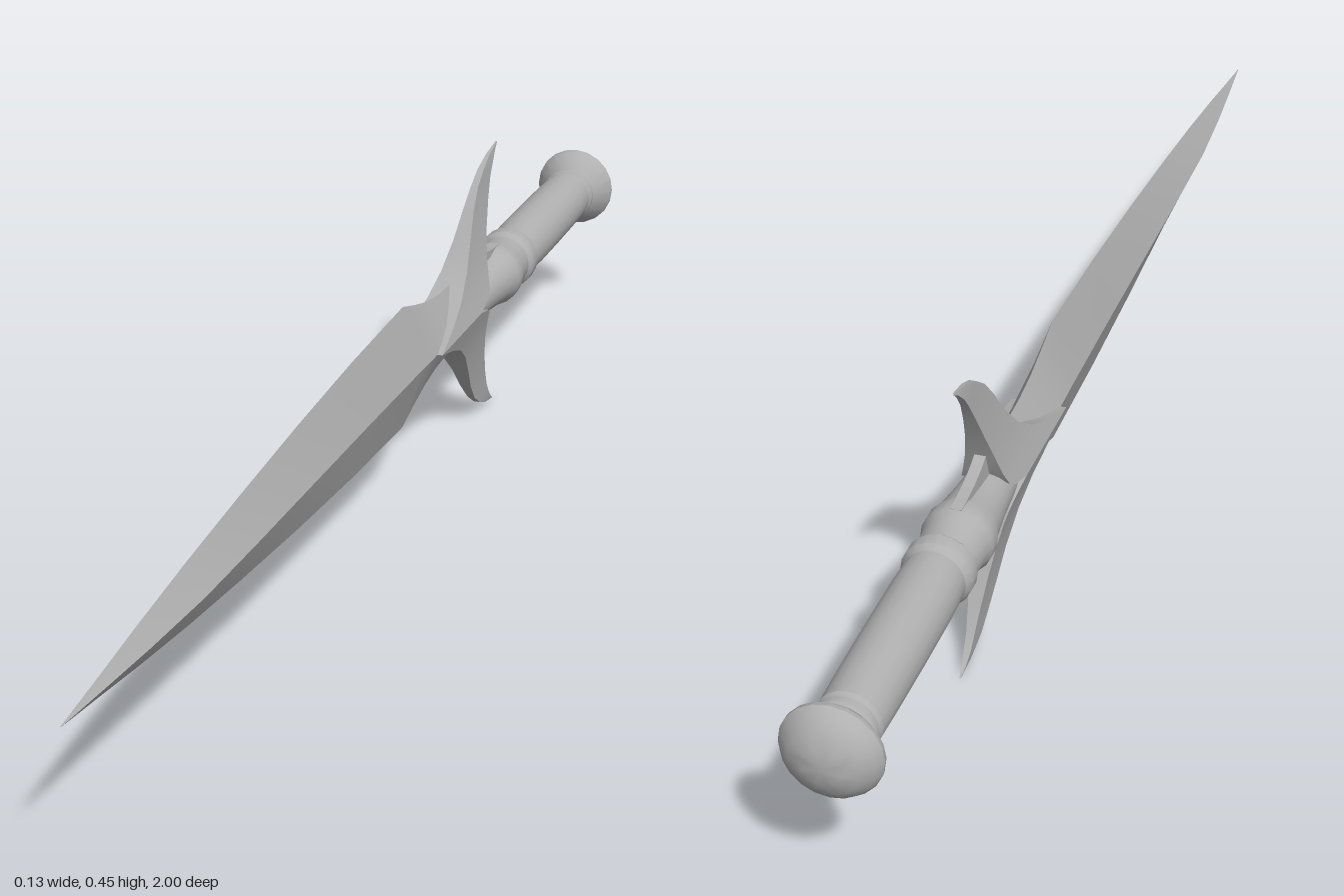
import * as THREE from 'three';
import { toCreasedNormals } from 'three/addons/utils/BufferGeometryUtils.js';

const AXIS_Y = 0.227;

// Skin a list of four-cornered rings; rings run counter-clockwise seen from the first one.
function loft(rings) {
  const pos = [];
  for (let i = 0; i < rings.length - 1; i++) {
    for (let j = 0; j < 4; j++) {
      const k = (j + 1) % 4;
      const a = rings[i][j], b = rings[i][k], c = rings[i + 1][j], d = rings[i + 1][k];
      pos.push(...a, ...c, ...b, ...b, ...c, ...d);
    }
  }
  const geo = new THREE.BufferGeometry();
  geo.setAttribute('position', new THREE.Float32BufferAttribute(pos, 3));
  return toCreasedNormals(geo, 0.45);
}

export function createModel() {
  const group = new THREE.Group();
  const steel = new THREE.MeshStandardMaterial({ color: 0xb0b0b0 });
  steel.name = 'grey steel';
  const add = (name, geo) => {
    const mesh = new THREE.Mesh(geo, steel);
    mesh.name = name;
    mesh.position.y = AXIS_Y;
    group.add(mesh);
  };

  // Blade: diamond sections [z, half height, half thickness]
  const blade = [
    [1, 0.0005, 0.0005], [0.9, 0.014, 0.009], [0.8, 0.028, 0.017], [0.66, 0.045, 0.025],
    [0.5, 0.061, 0.027], [0.3, 0.078, 0.028], [0.1, 0.091, 0.029], [-0.1, 0.098, 0.031],
    [-0.15, 0.082, 0.032], [-0.2, 0.068, 0.032], [-0.25, 0.06, 0.031], [-0.36, 0.054, 0.022],
  ];
  add('blade', loft(blade.map(([z, h, w]) => [[w, 0, z], [0, h, z], [-w, 0, z], [0, -h, z]])));

  // Guard: two swept prongs [height from axis, front z, back z, half thickness]
  const prong = [
    [0, -0.165, -0.345, 0.04], [0.01, -0.2, -0.385, 0.037], [0.02, -0.232, -0.4, 0.034],
    [0.04, -0.282, -0.41, 0.028], [0.07, -0.325, -0.42, 0.021], [0.11, -0.36, -0.438, 0.014],
    [0.15, -0.388, -0.458, 0.009], [0.18, -0.415, -0.475, 0.006], [0.2, -0.443, -0.49, 0.005],
    [0.215, -0.478, -0.506, 0.003], [0.224, -0.518, -0.521, 0.001],
  ];
  const ring = (s) => ([y, f, b, w]) => [[w, s * y, f], [-w, s * y, f], [-w, s * y, b], [w, s * y, b]];
  add('guard', loft([...prong.slice(1).reverse().map(ring(-1)), ...prong.map(ring(1))]));

  // Turned parts: profile points [radius, distance behind the centre]
  const turned = (name, points) => {
    const geo = new THREE.LatheGeometry(points.map(([r, d]) => new THREE.Vector2(r, d)), 20);
    geo.rotateX(-Math.PI / 2);
    add(name, toCreasedNormals(geo, 0.6));
  };
  turned('collar', [
    [0, 0.3], [0.026, 0.3], [0.034, 0.37], [0.038, 0.43], [0.044, 0.48], [0.05, 0.5],
    [0.05, 0.52], [0.045, 0.535], [0.043, 0.57], [0.049, 0.578], [0.049, 0.598], [0.043, 0.608],
  ]);
  turned('grip', [
    [0.043, 0.608], [0.045, 0.66], [0.045, 0.76], [0.044, 0.86], [0.043, 0.905],
    [0.039, 0.91], [0.039, 0.916], [0.044, 0.92], [0.044, 0.926], [0.04, 0.93],
  ]);
  turned('pommel', [
    [0.04, 0.93], [0.048, 0.937], [0.066, 0.957], [0.067, 0.964], [0.06, 0.976],
    [0.046, 0.988], [0.025, 0.997], [0, 1],
  ]);

  // Small spurs joining the prongs to the collar
  for (const s of [1, -1]) {
    const shape = new THREE.Shape();
    shape.moveTo(0.37, 0);
    shape.lineTo(0.51, 0);
    shape.lineTo(0.52, s * 0.05);
    shape.quadraticCurveTo(0.44, s * 0.052, 0.405, s * 0.082);
    shape.lineTo(0.37, s * 0.06);
    const geo = new THREE.ExtrudeGeometry(shape, { depth: 0.016, bevelEnabled: false, curveSegments: 6 });
    geo.translate(0, 0, -0.008);
    geo.rotateY(Math.PI / 2);
    add(s > 0 ? 'upperSpur' : 'lowerSpur', geo);
  }
  return group;
}
